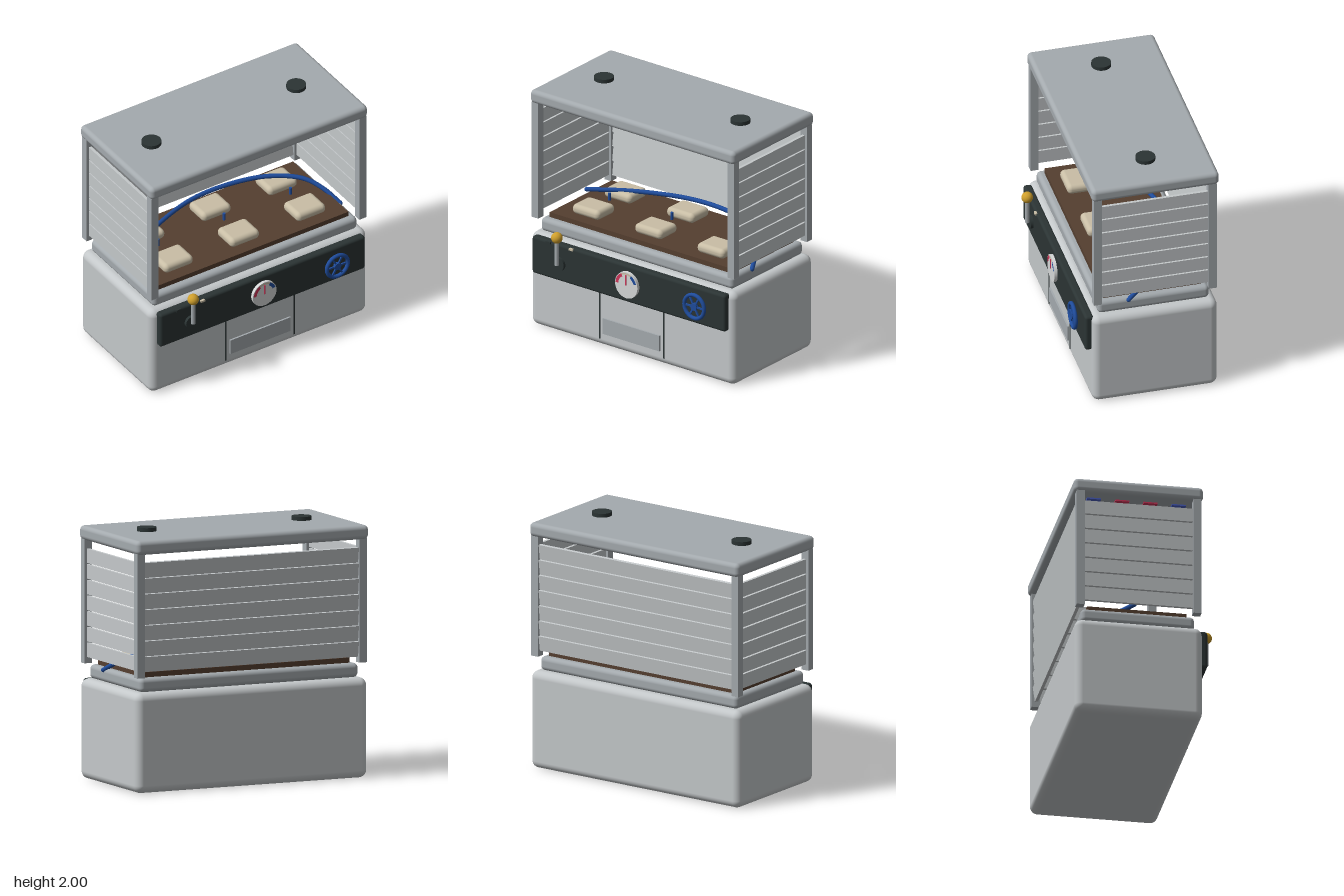
import * as THREE from 'three';
import { RoundedBoxGeometry } from 'three/addons/geometries/RoundedBoxGeometry.js';

const mat = (name, color, extra = {}) => Object.assign(new THREE.MeshStandardMaterial({ color, ...extra }), { name });

export function createModel() {
  const model = new THREE.Group();
  model.name = 'fieldStation';
  const M = {
    shell: mat('shell light grey', 0xc4c8ca),
    frame: mat('frame grey', 0xa4aaae),
    dark: mat('dark panel', 0x2b3434),
    soil: mat('brown bed', 0x553f30),
    cream: mat('cream', 0xc9bea6),
    blue: mat('hose blue', 0x1f4c9c),
    red: mat('signal red', 0xd0365a),
    lamp: mat('lamp blue', 0x4a60c4),
    brass: mat('brass', 0xcf9f2c),
    dial: mat('dial white', 0xd6d8d8),
  };

  const add = (name, geo, material, x, y, z, parent = model) => {
    const m = new THREE.Mesh(geo, material);
    m.name = name;
    m.position.set(x, y, z);
    parent.add(m);
    return m;
  };
  const box = (name, w, h, d, material, x, y, z, parent) =>
    add(name, new THREE.BoxGeometry(w, h, d), material, x, y, z, parent);
  const rbox = (name, w, h, d, r, material, x, y, z, parent) =>
    add(name, new RoundedBoxGeometry(w, h, d, 4, r), material, x, y, z, parent);
  const disc = (name, r, depth, material, x, y, z, parent) => {
    const m = add(name, new THREE.CylinderGeometry(r, r, depth, 40), material, x, y, z, parent);
    m.rotation.x = Math.PI / 2;
    return m;
  };
  const group = (name) => {
    const g = new THREE.Group();
    g.name = name;
    model.add(g);
    return g;
  };
  const ZC = -0.06; // middle of the cabinet in depth

  // Cabinet, tray and bed
  rbox('cabinet', 2, 0.78, 1, 0.06, M.shell, 0, 0.39, ZC);
  rbox('tray', 1.885, 0.11, 0.89, 0.035, M.frame, 0, 0.835, ZC);
  box('bed', 1.78, 0.045, 0.78, M.soil, 0, 0.9075, ZC);

  // Six cushions on the bed
  const pads = group('pads');
  for (const x of [-0.61, 0, 0.61])
    for (const z of [0.14, -0.26]) rbox('pad', 0.267, 0.08, 0.22, 0.036, M.cream, x, 0.97, z, pads);

  // Roof, vents and corner posts
  rbox('roof', 2, 0.11, 1.015, 0.035, M.frame, 0, 1.915, -0.0625);
  for (const s of [-1, 1]) {
    add('roofVent', new THREE.CylinderGeometry(0.077, 0.077, 0.035, 32), M.dark, s * 0.667, 1.9825, -0.065);
    for (const z of [0.398, -0.518]) box('post', 0.064, 0.97, 0.064, M.frame, s * 0.957, 1.385, z);
  }

  // Slatted walls on the back and both sides
  const walls = group('slatWalls');
  for (let i = 0; i < 7; i++) {
    const y = 1.005 + i * 0.1222;
    const back = box('backSlat', 1.86, 0.12, 0.026, M.shell, 0, y, -0.52, walls);
    back.rotation.x = -0.14;
    for (const s of [-1, 1]) box('sideSlat', 0.024, 0.111, 0.86, M.shell, s * 0.957, y, ZC, walls);
  }

  // Lamp plates under the roof
  const lamps = group('lamps');
  for (let i = 0; i < 6; i++)
    for (let j = 0; j < 4; j++)
      box('lamp', 0.22, 0.016, 0.11, (i + 2 * j) % 3 === 0 ? M.lamp : M.red,
        -0.777 + i * 0.311, 1.857, 0.272 - j * 0.222, lamps);

  // Hose with three nozzles
  const path = new THREE.CatmullRomCurve3([
    [-0.84, 1.0, -0.07], [-0.5, 1.017, -0.235], [-0.1, 1.025, -0.36], [0.25, 1.038, -0.35],
    [0.55, 1.045, -0.26], [0.77, 1.02, -0.12], [0.87, 0.96, 0.0], [0.94, 0.875, 0.14],
  ].map((p) => new THREE.Vector3(...p)));
  add('hose', new THREE.TubeGeometry(path, 64, 0.018, 10), M.blue, 0, 0, 0);
  for (const [t, name] of [[0, 'hoseEnd'], [1, 'hoseEnd']]) {
    const p = path.getPoint(t);
    add(name, new THREE.SphereGeometry(0.018, 12, 8), M.blue, p.x, p.y, p.z);
  }
  for (const x of [-0.61, 0, 0.61])
    add('nozzle', new THREE.CylinderGeometry(0.012, 0.012, 0.06, 12), M.blue, x, 1.003, ZC);

  // Control panel
  rbox('controlPanel', 1.89, 0.31, 0.07, 0.022, M.dark, 0, 0.615, 0.452);
  box('darkTab', 0.045, 0.016, 0.02, M.dark, -0.78, 0.758, 0.485);
  box('creamTab', 0.038, 0.016, 0.02, M.cream, -0.557, 0.758, 0.487);

  // Lever
  const lever = group('lever');
  disc('leverPivot', 0.054, 0.03, M.dark, -0.668, 0.61, 0.495, lever);
  add('leverRod', new THREE.CylinderGeometry(0.018, 0.018, 0.2, 16), M.frame, -0.668, 0.71, 0.525, lever);
  add('leverKnob', new THREE.SphereGeometry(0.045, 24, 16), M.brass, -0.668, 0.84, 0.525, lever);

  // Gauge with coloured arcs and a needle
  const gauge = group('gauge');
  gauge.position.set(0, 0.615, 0.495);
  disc('gaugeFace', 0.109, 0.035, M.dial, 0, 0, 0, gauge);
  const arc = (name, material, from, to, inner) => {
    const a = THREE.MathUtils.degToRad(from), len = THREE.MathUtils.degToRad(to - from);
    add(name, new THREE.RingGeometry(inner, 0.102, 16, 1, a, len), material, 0, 0, 0.019, gauge);
  };
  arc('blueArc', M.blue, 18, 62, 0.076);
  arc('creamArc', M.cream, 62, 118, 0.088);
  arc('redArc', M.red, 118, 178, 0.076);
  box('needle', 0.01, 0.085, 0.006, M.red, 0, 0.043, 0.02, gauge);

  // Hand wheel
  const wheel = group('handWheel');
  wheel.position.set(0.667, 0.615, 0.515);
  add('wheelRim', new THREE.TorusGeometry(0.097, 0.016, 12, 40), M.blue, 0, 0, 0, wheel);
  disc('wheelHub', 0.03, 0.024, M.blue, 0, 0, 0, wheel);
  disc('wheelAxle', 0.02, 0.05, M.dark, 0, 0, -0.02, wheel);
  for (let i = 0; i < 3; i++)
    box('wheelSpokes', 0.19, 0.014, 0.012, M.blue, 0, 0, 0, wheel).rotation.z = (i * Math.PI) / 3;

  // Drawer seams and handle plate
  for (const s of [-1, 1]) box('drawerSeam', 0.01, 0.4, 0.009, M.dark, s * 0.315, 0.26, 0.441);
  box('drawerHandle', 0.555, 0.13, 0.02, M.frame, 0, 0.178, 0.444);

  return model;
}
